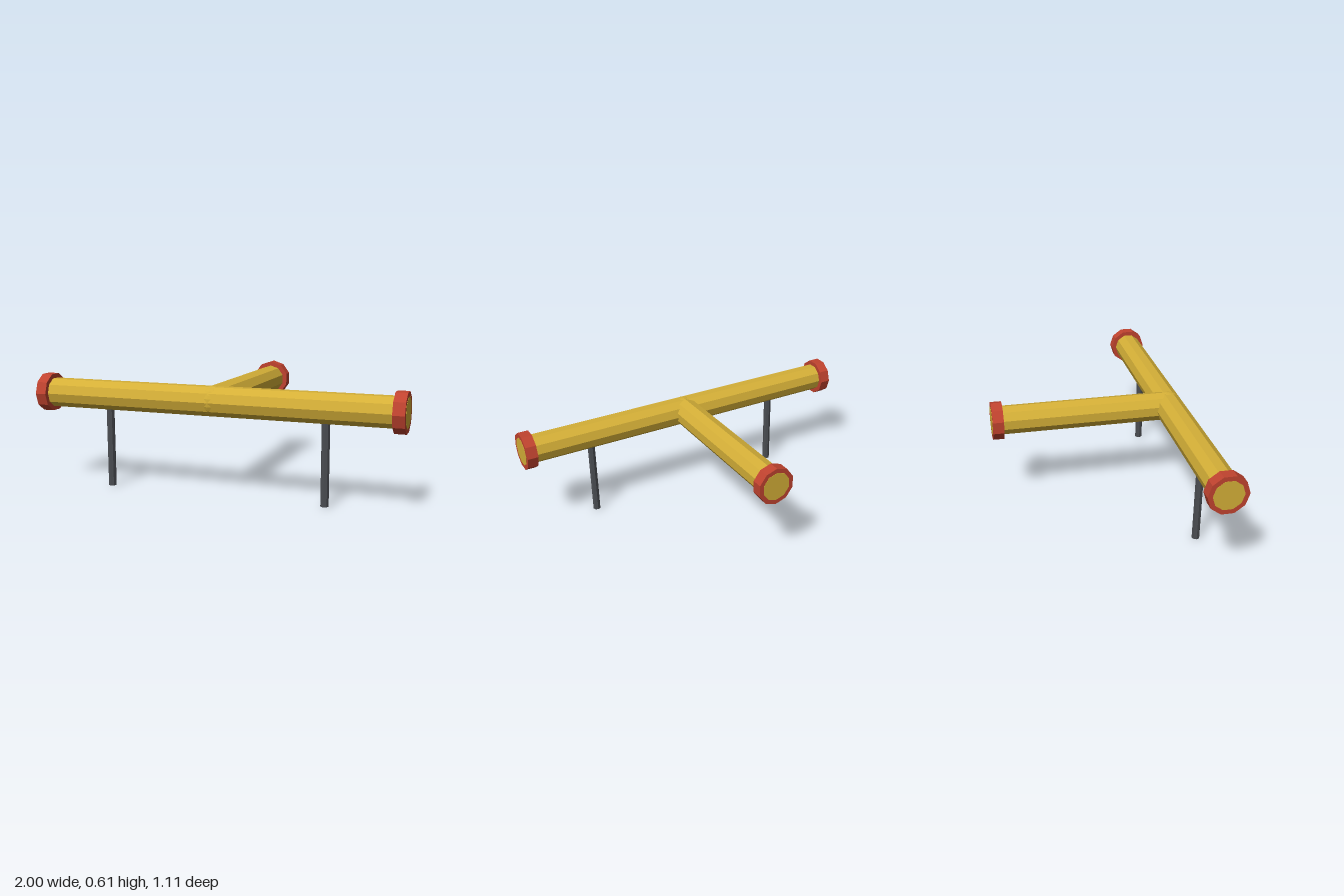
import * as THREE from 'three';

const mat = (name, color, flatShading = true) =>
  Object.assign(new THREE.MeshStandardMaterial({ color, flatShading }), { name });

export function createModel() {
  const yellow = mat('pipe yellow', 0xd4af37);
  const red = mat('flange red', 0xc0432f);
  const steel = mat('support steel', 0x4a4d52);
  const Y = 0.5, Z = 0.447, SIDES = 10;

  const model = new THREE.Group();
  model.name = 'pipeTee';
  const add = (name, geometry, material, x, y, z) => {
    const mesh = new THREE.Mesh(geometry, material);
    mesh.name = name;
    mesh.position.set(x, y, z);
    model.add(mesh);
  };
  const rod = (r, length, sides = SIDES) => new THREE.CylinderGeometry(r, r, length, sides);

  // Main run along x and branch running to the back; ends sit just proud of the flanges
  add('mainPipe', rod(0.08, 2.002).rotateZ(Math.PI / 2), yellow, 0, Y, Z);
  add('branchPipe', rod(0.08, 1.001).rotateX(Math.PI / 2), yellow, 0, Y, Z - 0.5005);

  // Rounded joint at the tee
  add('joint', new THREE.SphereGeometry(0.08, 16, 12), yellow, 0, Y, Z);

  // Flanges on the three ends
  for (const s of [-1, 1]) {
    const side = s > 0 ? 'left' : 'right';
    add(side + 'Flange', rod(0.105, 0.06).rotateZ(Math.PI / 2), red, s * 0.97, Y, Z);
    // Support legs
    add(side + 'Leg', rod(0.0215, 0.425, 8), steel, s * 0.6, 0.2125, Z);
  }
  add('branchFlange', rod(0.105, 0.06).rotateX(Math.PI / 2), red, 0, Y, Z - 0.97);

  return model;
}
